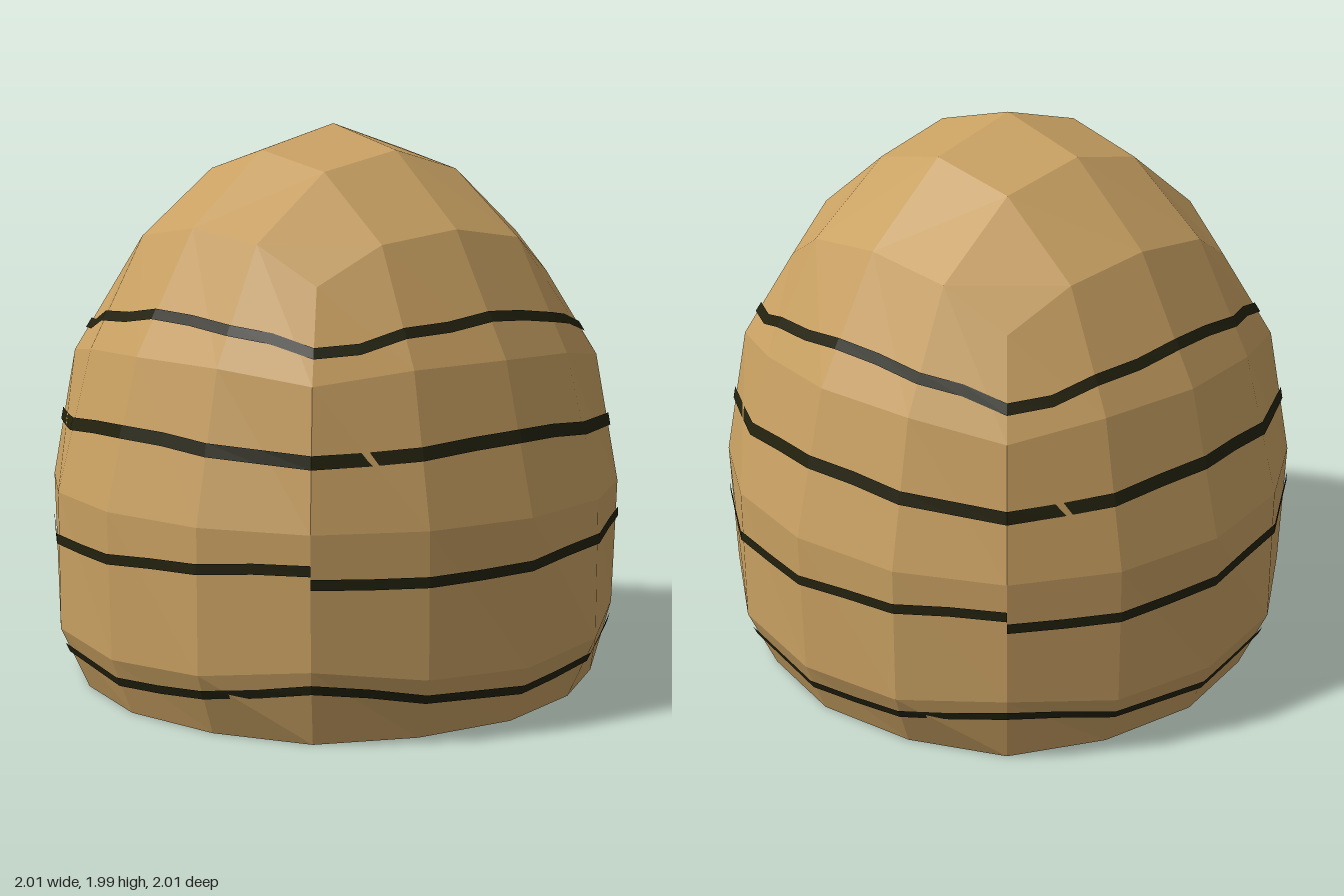
import * as THREE from 'three';

// Side columns of one quarter (facing +z): rows from the cap edge down to the ground,
// each giving [x, y, z] at the middle, quarter and corner column.
const ROWS = [
  [[0, 1.64, 0.63], [0.32, 1.6, 0.61], [0.54, 1.47, 0.54]],
  [[0, 1.22, 0.87], [0.36, 1.21, 0.81], [0.67, 1.17, 0.67]],
  [[0, 0.71, 1.0], [0.4, 0.71, 0.93], [0.73, 0.71, 0.73]],
  [[0, 0.2, 0.99], [0.4, 0.22, 0.93], [0.72, 0.26, 0.72]],
  [[0, 0, 0.91], [0.36, 0, 0.84], [0.67, 0, 0.67]],
];

// Stripe centre heights at nine even steps from corner to corner of a quarter.
const STRIPES = [
  { row: 0, h: 0.034, ys: [1.27, 1.28, 1.325, 1.335, 1.36, 1.35, 1.33, 1.31, 1.27] },
  { row: 1, h: 0.044, ys: [0.935, 0.94, 0.95, 0.965, 0.975, 0.97, 0.955, 0.945, 0.935] },
  { row: 2, h: 0.036, ys: [0.55, 0.545, 0.545, 0.545, 0.55, 0.565, 0.575, 0.59, 0.595] },
  { row: 3, h: 0.032, ys: [0.2, 0.18, 0.15, 0.135, 0.12, 0.13, 0.15, 0.17, 0.2] },
];

const UP = new THREE.Vector3(0, 1, 0);

// Row point at whole column s (-2..2)
function node(row, s) {
  const [x, y, z] = ROWS[row][Math.abs(s)];
  return new THREE.Vector3(Math.sign(s) * x, y, z);
}

// Row point at any column position
function along(row, s) {
  const s0 = Math.min(Math.floor(s), 1);
  return node(row, s0).lerp(node(row, s0 + 1), s - s0);
}

// Point on the band below a row, at a given height, lifted slightly outwards
function onBand(row, s, y) {
  const a = along(row, s), b = along(row + 1, s);
  const p = a.clone().lerp(b, (a.y - y) / (a.y - b.y));
  const k = 1 + 0.008 / Math.hypot(p.x, p.z);
  return p.set(p.x * k, p.y, p.z * k);
}

// Separate flat faces from a list of quads (corners anticlockwise from outside)
function quadGeometry(quads) {
  const pts = quads.flatMap(([a, b, c, d]) => [a, b, c, a, c, d]);
  const geo = new THREE.BufferGeometry().setFromPoints(pts);
  geo.computeVertexNormals();
  return geo;
}

// Repeat the quads of one quarter on all four sides
function fourSides(quads) {
  return [0, 1, 2, 3].flatMap((q) =>
    quads.map((f) => f.map((p) => p.clone().applyAxisAngle(UP, q * Math.PI / 2))));
}

export function createModel() {
  const group = new THREE.Group();
  const tan = new THREE.MeshStandardMaterial({ color: 0xc8a062, flatShading: true });
  tan.name = 'tan';
  const dark = new THREE.MeshStandardMaterial({ color: 0x23220f, flatShading: true });
  dark.name = 'darkStripe';
  const add = (name, geo, mat) => {
    const mesh = new THREE.Mesh(geo, mat);
    mesh.name = name;
    group.add(mesh);
  };

  // Side wall
  const wall = [];
  for (let r = 0; r < 4; r++) {
    for (let s = -2; s < 2; s++) {
      wall.push([node(r, s), node(r + 1, s), node(r + 1, s + 1), node(r, s + 1)]);
    }
  }
  add('hiveWall', quadGeometry(fourSides(wall)), tan);

  // Domed cap: a four by four grid rounded over the top
  const capPoint = (i, j) => {
    const a = Math.abs(i), b = Math.abs(j);
    const spread = [[0, 0.33, 0.63], [0, 0.31, 0.61], [0, 0.32, 0.54]];
    const height = [[1.99, 1.9, 1.64], [1.9, 1.83, 1.6], [1.64, 1.6, 1.47]];
    return new THREE.Vector3(Math.sign(i) * spread[b][a], height[a][b], Math.sign(j) * spread[a][b]);
  };
  const cap = [];
  for (let i = -2; i < 2; i++) {
    for (let j = -2; j < 2; j++) {
      cap.push([capPoint(i, j), capPoint(i, j + 1), capPoint(i + 1, j + 1), capPoint(i + 1, j)]);
    }
  }
  add('hiveCap', quadGeometry(cap), tan);

  // Wavy stripes around the wall
  STRIPES.forEach(({ row, h, ys }, n) => {
    const quads = [];
    for (let k = 0; k < 8; k++) {
      const s = k / 2 - 2, t = s + 0.5;
      quads.push([
        onBand(row, s, ys[k] + h / 2), onBand(row, s, ys[k] - h / 2),
        onBand(row, t, ys[k + 1] - h / 2), onBand(row, t, ys[k + 1] + h / 2),
      ]);
    }
    add(`stripe${n + 1}`, quadGeometry(fourSides(quads)), dark);
  });

  // Underside: two tan halves with a dark band between them
  const flat = (pts) => new THREE.ShapeGeometry(
    new THREE.Shape(pts.map(([x, z]) => new THREE.Vector2(x, z)))).rotateX(Math.PI / 2);
  const w = 0.13, e = 0.885;
  const half = [[w, -e], [0.36, -0.84], [0.67, -0.67], [0.84, -0.36], [0.91, 0],
    [0.84, 0.36], [0.67, 0.67], [0.36, 0.84], [w, e]];
  add('baseLeft', flat(half), tan);
  add('baseRight', flat(half.map(([x, z]) => [-x, z])), tan);
  add('baseBand', flat([[w, -e], [w, e], [0, 0.91], [-w, e], [-w, -e], [0, -0.91]]), dark);

  return group;
}
